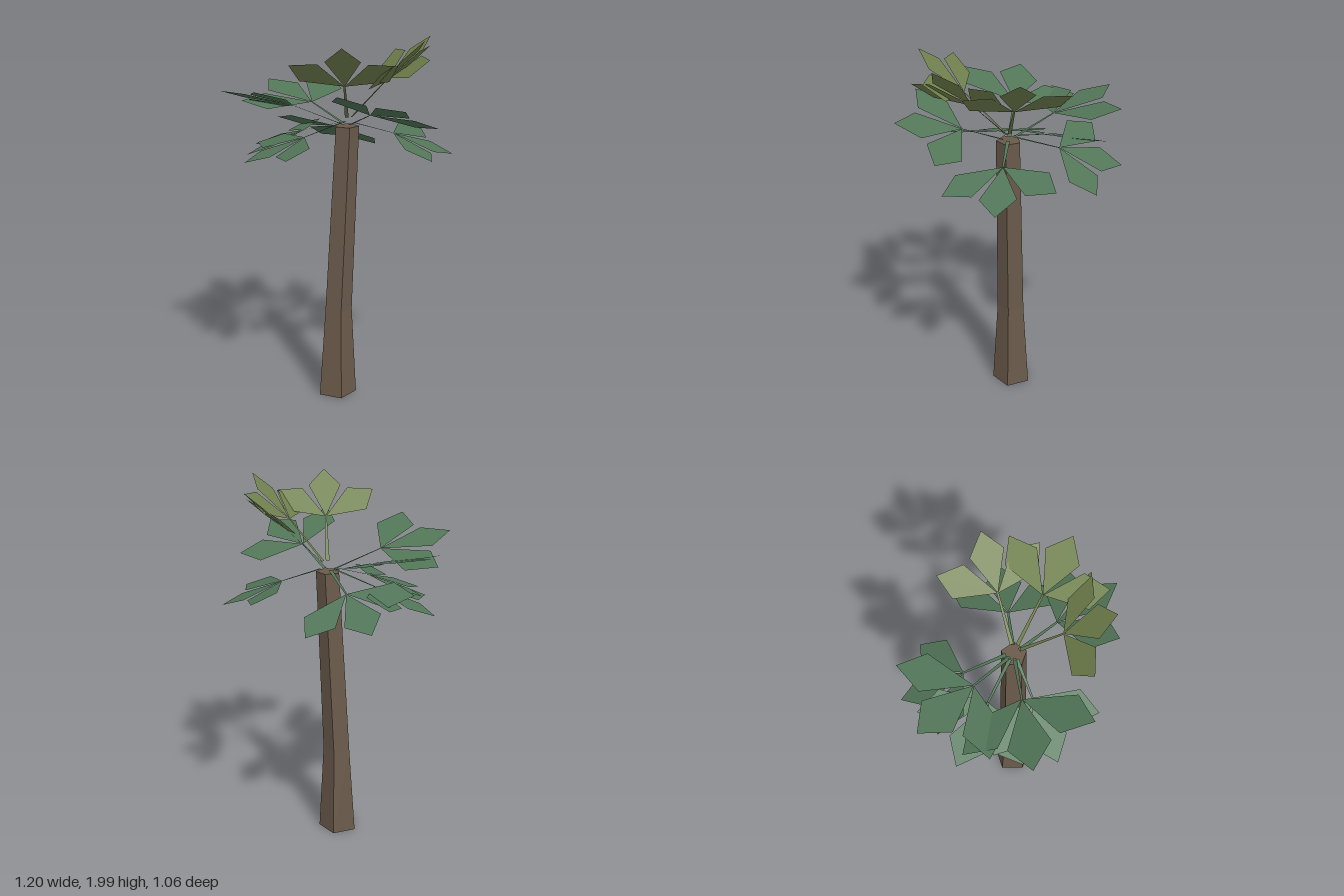
import * as THREE from 'three';

const { degToRad } = THREE.MathUtils;

const flat = (name, color, side = THREE.FrontSide) => {
  const m = new THREE.MeshStandardMaterial({ color, side, flatShading: true });
  m.name = name;
  return m;
};

// Flat four-cornered patches, each given as corners in order
function quads(list) {
  const pos = [];
  for (const [a, b, c, d] of list) pos.push(...a, ...b, ...c, ...a, ...c, ...d);
  const g = new THREE.BufferGeometry();
  g.setAttribute('position', new THREE.Float32BufferAttribute(pos, 3));
  g.computeVertexNormals();
  return g;
}

// Three kite-shaped leaflets fanning out from the origin along +x
function leafletFan(length) {
  const at = (r, deg) => {
    const a = degToRad(deg);
    return [r * length * Math.cos(a), 0, r * length * Math.sin(a)];
  };
  return quads([-56, 0, 56].map((d) => [[0, 0, 0], at(0.71, d + 22.8), at(1, d), at(0.71, d - 22.8)]));
}

// Narrow tapering strip from the crown to the leaflets
function stemStrip(r0, y0, r1, y1) {
  return quads([[[r0, y0, 0.01], [r1, y1, 0.005], [r1, y1, -0.005], [r0, y0, -0.01]]]);
}

// Five-sided trunk, flared at the foot and leaning slightly
function trunkGeometry() {
  const rings = [[0, 0.11, -0.011], [0.5, 0.078, -0.005], [1.52, 0.066, 0.042]]; // y, radius, x
  const g = new THREE.CylinderGeometry(1, 1, 2, 5, 2);
  g.rotateY(Math.PI / 2);
  const p = g.attributes.position;
  for (let i = 0; i < p.count; i++) {
    const [y, r, x] = rings[Math.round(p.getY(i)) + 1];
    p.setXYZ(i, x + r * p.getX(i), y, 0.031 + r * p.getZ(i));
  }
  g.computeVertexNormals();
  return g;
}

export function createModel() {
  const model = new THREE.Group();
  const bark = flat('bark brown', 0x6a5a4b);
  const green = flat('leaf green', 0x527658, THREE.DoubleSide);
  const olive = flat('young leaf olive', 0x71814e, THREE.DoubleSide);

  const trunk = new THREE.Mesh(trunkGeometry(), bark);
  trunk.name = 'trunk';
  model.add(trunk);

  // Tiers of leaves: stem start, then [heading, reach, height, pitch, roll, leaflet length] per leaf
  const tiers = [
    { name: 'lowerLeaf', mat: green, start: [0.04, 1.535], leaves: [
      [-108, 0.26, 1.47, -18.5, 18, 0.35], [-152, 0.267, 1.47, -19, -8, 0.35],
      [157, 0.233, 1.475, -19, 2, 0.338], [-6.5, 0.242, 1.48, -20, 6, 0.337]] },
    { name: 'middleLeaf', mat: green, start: [0.03, 1.53], leaves: [
      [-136.5, 0.277, 1.61, 13, -6, 0.378], [172.5, 0.28, 1.63, 12, 14, 0.383],
      [59, 0.244, 1.615, 12, -20, 0.348]] },
    { name: 'topLeaf', mat: olive, start: [0.03, 1.57], leaves: [
      [90, 0.23, 1.76, 42.5, 0, 0.315], [35, 0.237, 1.77, 43, 12, 0.322], [-20, 0.223, 1.76, 42.5, 0, 0.31]] },
  ];
  for (const { name, mat, start, leaves } of tiers) {
    leaves.forEach(([heading, reach, height, pitch, roll, length], i) => {
      const leaf = new THREE.Group();
      leaf.name = name + (i + 1);
      leaf.position.set(0.045, 0, 0.03);
      leaf.rotation.y = -degToRad(heading);

      const stem = new THREE.Mesh(stemStrip(...start, reach, height), mat);
      stem.name = 'stem';
      const leaflets = new THREE.Mesh(leafletFan(length), mat);
      leaflets.name = 'leaflets';
      leaflets.position.set(reach, height, 0);
      leaflets.rotation.set(degToRad(roll), 0, degToRad(pitch), 'ZYX');
      leaf.add(stem, leaflets);
      model.add(leaf);
    });
  }
  return model;
}
